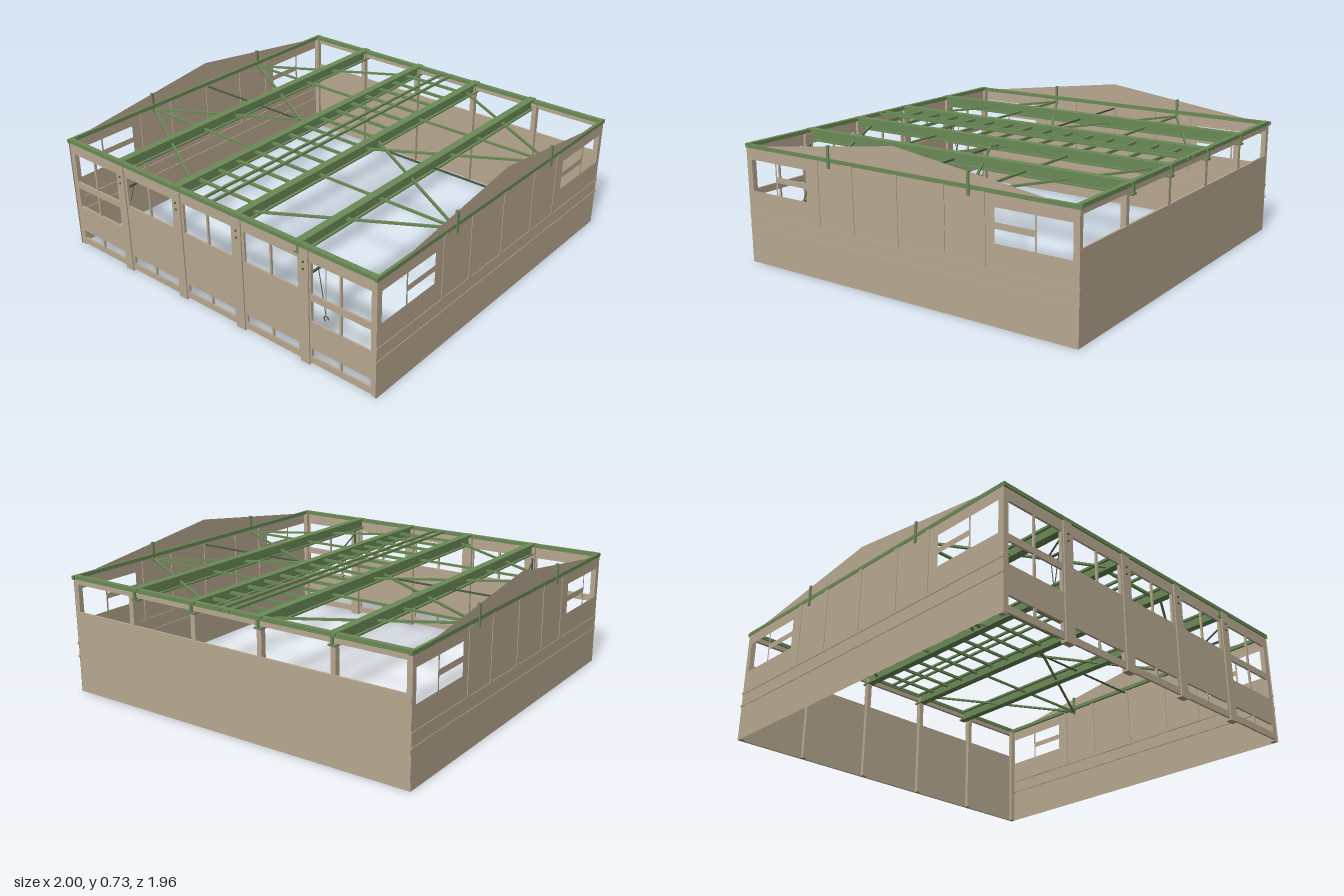
import * as THREE from 'three';

const tan = new THREE.MeshStandardMaterial({ color: 0xb8a890, side: THREE.DoubleSide });
const green = new THREE.MeshStandardMaterial({ color: 0x6b8a57 });
const dark = new THREE.MeshStandardMaterial({ color: 0x4a5a42 });

export function createModel() {
  const root = new THREE.Group();
  root.name = 'workshopHall';

  const add = (name, geometry, material, parent = root) => {
    const mesh = new THREE.Mesh(geometry, material);
    mesh.name = name;
    parent.add(mesh);
    return mesh;
  };
  // Box given by its limits on each axis
  const block = (name, [x0, x1], [y0, y1], [z0, z1], material, parent) => {
    const mesh = add(name, new THREE.BoxGeometry(x1 - x0, y1 - y0, z1 - z0), material, parent);
    mesh.position.set((x0 + x1) / 2, (y0 + y1) / 2, (z0 + z1) / 2);
    return mesh;
  };
  // Square bar between two points
  const bar = (name, a, b, size, material, parent) => {
    const from = new THREE.Vector3(...a), to = new THREE.Vector3(...b);
    const mesh = add(name, new THREE.BoxGeometry(size, size, from.distanceTo(to)), material, parent);
    mesh.position.copy(from).lerp(to, 0.5);
    mesh.lookAt(to);
    return mesh;
  };
  const rectHole = (x0, x1, y0, y1) => new THREE.Path([
    [x0, y0], [x0, y1], [x1, y1], [x1, y0],
  ].map(p => new THREE.Vector2(...p)));
  const outline = points => new THREE.Shape(points.map(p => new THREE.Vector2(...p)));

  // Front wall: five bays with paired openings
  const front = outline([[-0.99, 0.01], [0.99, 0.01], [0.99, 0.6], [-0.99, 0.6]]);
  const bays = [
    [-0.96, -0.805, -0.635], [-0.56, -0.4, -0.235], [-0.16, 0, 0.155],
    [0.235, 0.395, 0.555], [0.63, 0.795, 0.96],
  ];
  bays.forEach(([x0, mid, x1], i) => {
    const rows = [[0.38, 0.54], [0.045, 0.09]];
    if (i === 0 || i === 4) rows.push([0.235, 0.345]);
    for (const [y0, y1] of rows) {
      front.holes.push(rectHole(x0, mid - 0.005, y0, y1), rectHole(mid + 0.005, x1, y0, y1));
    }
  });
  add('frontWall', new THREE.ExtrudeGeometry(front, { depth: 0.01, bevelEnabled: false }), tan)
    .position.z = 0.955;

  // Back wall: solid below, open strip between short posts above
  block('backWall', [-0.99, 0.99], [0, 0.43], [-0.97, -0.96], tan);
  block('backHeader', [-0.99, 0.99], [0.575, 0.6], [-0.97, -0.955], tan);
  for (const x of [-0.6, -0.2, 0.195, 0.595]) {
    block('frontColumn', [x - 0.026, x + 0.026], [0, 0.6], [0.94, 0.972], tan);
    block('backColumn', [x - 0.013, x + 0.013], [0, 0.6], [-0.968, -0.94], tan);
    // Bolts on the column heads
    for (const y of [0.5, 0.535]) {
      const bolt = add('columnBolt', new THREE.CylinderGeometry(0.005, 0.005, 0.006, 8), dark);
      bolt.rotation.x = Math.PI / 2;
      bolt.position.set(x, y, 0.974);
    }
  }

  // Gable walls with corner windows, outer rails and posts
  const gable = outline([[-0.97, 0], [0.97, 0], [0.97, 0.6], [0, 0.73], [-0.97, 0.6]]);
  gable.holes.push(
    rectHole(0.77, 0.94, 0.38, 0.54), rectHole(0.56, 0.76, 0.38, 0.445),
    rectHole(0.56, 0.76, 0.475, 0.54), rectHole(-0.94, -0.765, 0.38, 0.54),
    rectHole(-0.755, -0.55, 0.38, 0.445), rectHole(-0.755, -0.55, 0.475, 0.54),
  );
  for (const side of [-1, 1]) {
    const wall = new THREE.Group();
    wall.name = side > 0 ? 'leftSide' : 'rightSide';
    root.add(wall);
    const panel = add('gableWall', new THREE.ShapeGeometry(gable), tan, wall);
    panel.rotation.y = -Math.PI / 2;
    panel.position.x = side * 0.993;
    const span = (a, b) => (side > 0 ? [a, b] : [-b, -a]);
    for (const y of [0.19, 0.26]) {
      block('wallRail', span(0.988, 0.996), [y - 0.006, y + 0.006], [-0.975, 0.97], tan, wall);
    }
    for (const z of [0.49, 0.27, 0, -0.27, -0.49]) {
      block('wallPost', span(0.988, 0.996), [0.26, 0.6], [z - 0.012, z + 0.012], tan, wall);
    }
    for (const z of [-0.955, 0.95]) {
      block('cornerPost', span(0.965, 0.992), [0, 0.6], [z - 0.013, z + 0.013], tan, wall);
    }
    // Roof edge beam and upright brackets
    block('sideBeam', span(0.98, 0.995), [0.598, 0.618], [-0.98, 0.975], green, wall);
    for (const z of [-0.415, 0.405]) {
      block('roofBracket', span(0.985, 1), [0.57, 0.68], [z - 0.007, z + 0.007], green, wall);
    }

    // Crossed roof bracing
    const y = 0.585;
    const ties = [
      [-0.415, -0.87], [-0.415, 0.04], [0.4, -0.06], [0.4, 0.86],
      [-0.415, -0.415], [0.4, 0.4],
    ];
    for (const [outer, inner] of ties) {
      bar('roofBrace', [side * 0.985, y, outer], [side * 0.2, y, inner], 0.011, green, wall);
    }
    bar('middleTie', [side * 0.985, y, -0.005], [side * 0.2, y, -0.005], 0.008, dark, wall);
  }

  // Eave beams
  for (const z of [-0.96, 0.96]) {
    block('eaveBeam', [-0.99, 0.99], [0.6, 0.62], [z - 0.012, z + 0.012], green);
  }

  // Main roof beams with flanges and a web
  for (const x of [-0.6, -0.2, 0.195, 0.56]) {
    const beam = new THREE.Group();
    beam.name = 'mainBeam';
    root.add(beam);
    const length = [-0.98, 0.97];
    block('topFlange', [x - 0.02, x + 0.02], [0.61, 0.622], length, green, beam);
    block('web', [x - 0.007, x + 0.007], [0.568, 0.61], length, green, beam);
    block('bottomFlange', [x - 0.02, x + 0.02], [0.56, 0.568], length, green, beam);
  }

  // Ladder frame between the two middle beams
  for (let i = 0; i < 14; i++) {
    const z = -0.83 + i * 0.127;
    block('ladderRung', [-0.2, 0.195], [0.592, 0.606], [z - 0.006, z + 0.006], green);
  }
  for (const x of [-0.03, 0.025]) {
    block('ladderRail', [x - 0.006, x + 0.006], [0.606, 0.618], [-0.98, 0.97], green);
  }

  // Swing hoists on the front columns
  for (const [x, dx, z1] of [[0.592, 0.085, 0.8], [-0.615, -0.025, 0.86]]) {
    const hoist = new THREE.Group();
    hoist.name = 'swingHoist';
    root.add(hoist);
    bar('hoistArm', [x, 0.45, 0.96], [x, 0.45, z1], 0.009, dark, hoist);
    bar('hoistStay', [x, 0.53, 0.95], [x, 0.452, z1], 0.006, dark, hoist);
    bar('hoistPivot', [x, 0.37, 0.94], [x, 0.54, 0.941], 0.01, dark, hoist);
    for (const z of [z1 + 0.02, z1 + 0.07]) {
      bar('hoistCable', [x, 0.45, z], [x + dx, 0.26, 0.92], 0.0035, dark, hoist);
    }
    const hook = add('hoistHook', new THREE.TorusGeometry(0.012, 0.003, 6, 14, Math.PI * 1.5), dark, hoist);
    hook.position.set(x + dx, 0.246, 0.92);
  }
  return root;
}
